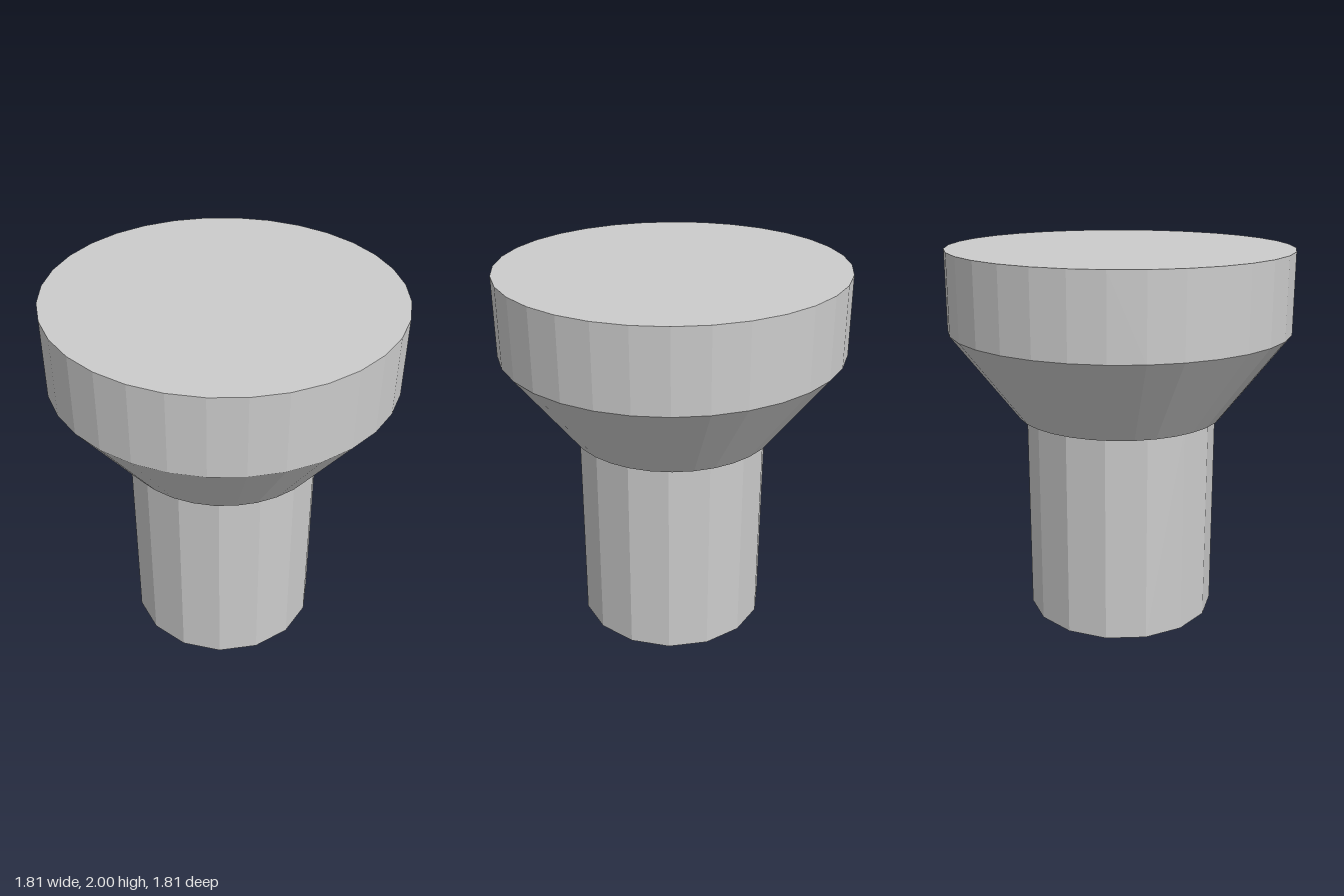
import * as THREE from 'three';

export function createModel() {
  const group = new THREE.Group();
  const material = new THREE.MeshStandardMaterial({ color: 0xcccccc, flatShading: true });

  // Stack a capped or open cylinder section between two heights
  const section = (name, rTop, rBottom, y0, y1, sides, open, parent) => {
    const mesh = new THREE.Mesh(
      new THREE.CylinderGeometry(rTop, rBottom, y1 - y0, sides, 1, open), material);
    mesh.name = name;
    mesh.position.y = (y0 + y1) / 2;
    parent.add(mesh);
    return mesh;
  };

  // Fifteen-sided shaft, running slightly into the head
  const shaft = section('shaft', 0.51, 0.51, 0, 1.13, 15, false, group);
  shaft.rotation.y = Math.PI;
  shaft.position.z = 0.005;

  // Head, leaning very slightly to one side
  const head = new THREE.Group();
  head.name = 'head';
  head.position.y = 1.55;
  head.rotation.z = -0.006;
  group.add(head);

  // Straight rim and flared underside of the head
  const profile = [[0, -0.436], [0.553, -0.436], [0.903, 0.027], [0.903, 0.445], [0, 0.445]]
    .map(([r, y]) => new THREE.Vector2(r, y));
  const body = new THREE.Mesh(new THREE.LatheGeometry(profile, 32), material);
  body.name = 'flaredHead';
  head.add(body);

  return group;
}
